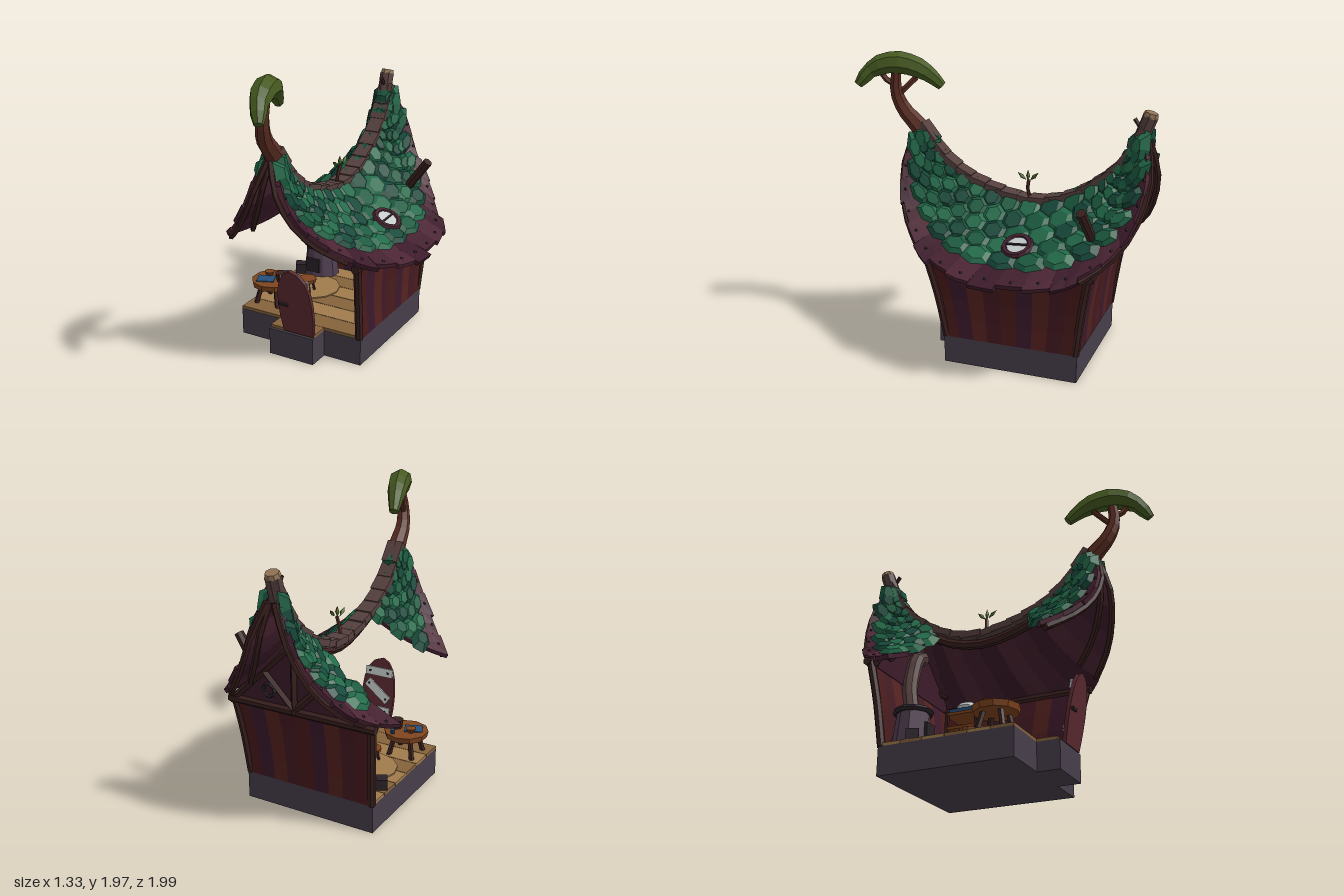
import * as THREE from 'three';

const V = (x, y, z) => new THREE.Vector3(x, y, z);
const curve = pts => new THREE.CatmullRomCurve3(pts.map(p => V(...p)));
const mat = color => new THREE.MeshStandardMaterial({ color, flatShading: true, side: THREE.DoubleSide });
const M = {
  stone: mat(0x463e4a), floor: mat(0x85623c), tan: mat(0xa07c4c), timber: mat(0x3a211f), bark: mat(0x5a2d22),
  ridge: mat(0x55403e), cut: mat(0x8f7355), white: mat(0xc4ccca), orange: mat(0x80451f), blue: mat(0x23507a),
  foliage: mat(0x465a20), leaf: mat(0x506a2a), iron: mat(0x2a2228), stove: mat(0x4f3d50), door: mat(0x5a2a30),
};
const GREENS = [0x1b5a40, 0x17493a, 0x236a4a].map(mat);
const ROOF = [0x44202f, 0x4c2534, 0x3c1b2a].map(mat);
const WALL = [0x4a1b1c, 0x3c1a2c, 0x552220, 0x431a22].map(mat);

// house axis, ridge line and right-hand eave line
const CX = -0.07;
const ridge = curve([[CX, 1.46, 0.58], [CX, 1.29, 0.46], [CX, 1.16, 0.3], [CX, 1.07, 0.09], [CX, 1.02, -0.15],
  [CX, 1.06, -0.39], [CX, 1.18, -0.6], [CX, 1.34, -0.77], [CX, 1.54, -0.88]]);
const eave = curve([[-0.05, 1.48, 0.6], [0, 1.35, 0.68], [0.08, 1.15, 0.69], [0.2, 0.98, 0.63], [0.33, 0.86, 0.52],
  [0.48, 0.75, 0.35], [0.58, 0.7, 0.14], [0.61, 0.68, -0.1], [0.6, 0.69, -0.4], [0.5, 0.73, -0.62],
  [0.32, 0.88, -0.83], [0.14, 1.13, -0.94], [0.04, 1.38, -0.95], [-0.05, 1.55, -0.89]]);

// point on the roof: t runs front to back, s ridge to eave, side is +1 or -1
function roofPoint(t, s, side) {
  t = THREE.MathUtils.clamp(t, 0, 1);
  const tr = Math.min(1, t + 0.08 * Math.exp(-(((t - 0.66) / 0.15) ** 2)));
  const p = ridge.getPointAt(tr).lerp(eave.getPointAt(t), s);
  p.y -= 0.05 * Math.sin(Math.PI * Math.min(s, 1)) * Math.sin(Math.PI * t);
  if (side < 0) p.x = 2 * CX - p.x;
  return p;
}
function roofFrame(t, s, side) {
  const e = 0.01;
  const T = roofPoint(t + e, s, side).sub(roofPoint(t - e, s, side)).multiplyScalar(side / (2 * e));
  const D = roofPoint(t, s + e, side).sub(roofPoint(t, s - e, side)).multiplyScalar(1 / (2 * e));
  const w = T.length(), l = D.length();
  D.normalize();
  const N = D.clone().cross(T).normalize();
  T.copy(N).cross(D).normalize();
  return { p: roofPoint(t, s, side), T, N, D, w, l };
}
function reshape(geo, fn) {
  const a = geo.attributes.position, v = V(0, 0, 0);
  for (let i = 0; i < a.count; i++) {
    const p = fn(v.fromBufferAttribute(a, i), i);
    a.setXYZ(i, p.x, p.y, p.z);
  }
  geo.computeVertexNormals();
  return geo;
}

export function createModel() {
  const model = new THREE.Group();
  const group = name => { const g = new THREE.Group(); g.name = name; model.add(g); return g; };
  const add = (g, name, geo, m, x = 0, y = 0, z = 0) => {
    const mesh = new THREE.Mesh(geo, m);
    mesh.name = name; mesh.position.set(x, y, z); g.add(mesh);
    return mesh;
  };
  const box = (g, name, m, w, h, d, x, y, z) => add(g, name, new THREE.BoxGeometry(w, h, d), m, x, y, z);
  const cyl = (g, name, m, r1, r2, h, x, y, z, n = 9) => add(g, name, new THREE.CylinderGeometry(r1, r2, h, n), m, x, y, z);
  // capped branch with radius varying along its path
  const limb = (g, name, m, pts, radius, n = 6, sides = 7) => {
    const c = curve(pts), rows = n + 2;
    const geo = reshape(new THREE.TubeGeometry(c, rows, 1, sides), (v, i) => {
      const row = Math.floor(i / (sides + 1)), u = THREE.MathUtils.clamp((row - 1) / n, 0, 1);
      const k = row === 0 || row === rows ? 0 : typeof radius === 'number' ? radius : radius(u);
      return v.clone().sub(c.getPointAt(row / rows)).multiplyScalar(k).add(c.getPointAt(u));
    });
    return add(g, name, geo, m);
  };

  // foundation and floor
  const base = group('foundation');
  box(base, 'foundationBlock', M.stone, 0.92, 0.185, 0.9, -0.1, 0.0925, -0.17);
  box(base, 'porchBlock', M.stone, 0.33, 0.185, 0.15, -0.075, 0.0925, 0.355);
  for (let i = 0; i < 6; i++) box(base, 'floorPlank', i % 2 ? M.floor : M.tan, 0.92, 0.02, 0.146, -0.1, 0.195, -0.545 + i * 0.15);
  box(base, 'porchFloor', M.floor, 0.33, 0.02, 0.13, -0.075, 0.195, 0.345);

  // flared plank walls, open at the front and left
  const walls = group('walls');
  const wall = (name, b0, b1, t0, t1, out, n) => {
    const B = [V(...b0), V(...b1)], T = [V(...t0), V(...t1)], O = V(...out);
    for (let i = 0; i < n; i++) {
      add(walls, name, reshape(new THREE.BoxGeometry(1, 1, 1, 1, 4, 1), v => {
        const u = (i + v.x + 0.5) / n, h = v.y + 0.5;
        return B[0].clone().lerp(B[1], u).lerp(T[0].clone().lerp(T[1], u), h)
          .addScaledVector(O, 0.025 * v.z - 0.015 * Math.sin(Math.PI * h));
      }), WALL[i % 4]);
    }
  };
  wall('rightWallPlank', [0.35, 0.185, 0.27], [0.35, 0.185, -0.61], [0.385, 0.73, 0.38], [0.385, 0.73, -0.69], [1, 0, 0], 9);
  wall('backWallPlank', [0.35, 0.185, -0.61], [-0.55, 0.185, -0.61], [0.385, 0.73, -0.69], [-0.585, 0.73, -0.69], [0, 0, -1], 9);
  for (const [x0, x1, z0, z1] of [[0.345, 0.39, 0.265, 0.385], [0.345, 0.39, -0.605, -0.69], [-0.545, -0.59, -0.605, -0.69]])
    limb(walls, 'cornerPost', M.timber, [[x0, 0.185, z0], [(x0 * 0.6 + x1 * 0.4), 0.48, z0 * 0.55 + z1 * 0.45], [x1, 0.75, z1]], 0.027);
  limb(walls, 'sideBeam', M.timber, [[0.385, 0.73, 0.41], [0.385, 0.73, -0.72]], 0.03);
  limb(walls, 'backBeam', M.timber, [[0.42, 0.73, -0.7], [-0.62, 0.74, -0.7]], 0.028);
  const gable = new THREE.Shape([[-0.54, 0.72], [0.4, 0.72], [0.36, 0.79], [0.14, 0.97], [CX, 1.22], [-0.28, 0.97], [-0.5, 0.79]].map(p => new THREE.Vector2(...p)));
  add(walls, 'backGable', new THREE.ExtrudeGeometry(gable, { depth: 0.03, bevelEnabled: false }), ROOF[2], 0, 0, -0.7);
  for (const [a, b] of [[[CX, 0.73], [CX, 1.24]], [[CX, 1.18], [0.36, 0.76]], [[CX, 1.18], [-0.5, 0.76]], [[CX, 0.75], [0.14, 0.96]], [[CX, 0.75], [-0.28, 0.96]]])
    limb(walls, 'gableBeam', M.timber, [[...a, -0.715], [...b, -0.715]], 0.022, 2, 4);
  add(walls, 'gableWindow', new THREE.TorusGeometry(0.04, 0.012, 5, 10), M.iron, 0.12, 0.84, -0.705);

  // roof boards, shingles and trim; the left slope is open in the middle
  const roof = group('roof');
  const spans = [[1, 0.015, 0.985, 18], [-1, 0.015, 0.29, 5], [-1, 0.61, 0.985, 7]];
  for (const [side, from, to, n] of spans) {
    const step = (to - from) / n;
    for (let i = 0; i < n; i++) {
      const end = 1 + 0.03 * ((i * 7) % 3 - 1);
      add(roof, 'roofBoard', reshape(new THREE.BoxGeometry(1, 1, 1, 2, 1, 6), v => {
        const f = roofFrame(from + step * (i + 0.5 + side * v.x), (v.z + 0.5) * end, side);
        return f.p.addScaledVector(f.N, 0.03 * v.y);
      }), ROOF[i % 3]);
      const f = roofFrame(from + step * (i + 0.5), 0.92, side);
      f.p.addScaledVector(f.N, 0.015);
      add(roof, 'stud', new THREE.IcosahedronGeometry(0.011), M.iron, ...f.p);
    }
    const cols = Math.round(n * 0.9), dt = (to - from) / cols;
    for (let r = 4; r >= 0; r--) for (let c = 0; c < cols; c++) {
      const t = from + dt * (c + (r % 2 ? 0.3 : 0.7)), s = 0.08 + r * 0.145;
      const f = roofFrame(t, s, side), edge = Math.abs(t - 0.5) * 2;
      const mesh = add(roof, 'shingle', new THREE.CylinderGeometry(0.3, 0.6, 1, 6), GREENS[(c * 5 + r * 2) % 3]);
      const w = Math.max(f.w * dt * 1.25, 0.1), l = Math.max(f.l * 0.24, 0.11), h = 0.035 + 0.03 * edge ** 3;
      mesh.matrix.makeBasis(f.T, f.N, f.D).multiply(new THREE.Matrix4().makeRotationX(0.12))
        .scale(V(w, h, l)).setPosition(f.p.addScaledVector(f.N, 0.03));
      mesh.matrix.decompose(mesh.position, mesh.quaternion, mesh.scale);
    }
    // bargeboards under the rising gable edges
    for (const [a, b] of [[0.02, 0.28], [0.66, 0.98]]) {
      if (b < from || a > to) continue;
      for (const s of [0.97, 0.7]) limb(roof, 'bargeboard', M.timber, [0, 1, 2, 3, 4].map(k => {
        const f = roofFrame(a + (b - a) * k / 4, s, side);
        return f.p.addScaledVector(f.N, -0.03).toArray();
      }), 0.02, 8, 5);
    }
  }
  limb(roof, 'ridgeBeam', M.timber, ridge.getPoints(8).map(p => [p.x, p.y - 0.035, p.z]), 0.03, 16, 6);
  for (let i = 0; i < 16; i++) {
    const u = (i + 0.5) / 16, p = ridge.getPointAt(u), d = ridge.getTangentAt(u);
    const tile = box(roof, 'ridgeTile', M.ridge, 0.115 - 0.01 * (i % 2), 0.045, 0.15, CX, p.y + 0.025, p.z);
    tile.rotation.x = Math.atan2(d.y, -d.z) + (u < 0.45 ? 0.1 : -0.1);
  }

  // round skylight
  const sky = group('skylight'), sf = roofFrame(0.51, 0.5, 1);
  sky.position.copy(sf.p).addScaledVector(sf.N, 0.05);
  sky.position.z = -0.2;
  sky.quaternion.setFromUnitVectors(V(0, 1, 0), sf.N);
  add(sky, 'skylightFrame', new THREE.TorusGeometry(0.083, 0.022, 6, 14), ROOF[0]).rotation.x = Math.PI / 2;
  cyl(sky, 'skylightGlass', M.white, 0.075, 0.075, 0.05, 0, -0.015, 0, 14);
  box(sky, 'skylightBar', M.iron, 0.012, 0.02, 0.15, 0, 0.01, 0);

  // chimney stick, back log and sprout
  limb(roof, 'chimneyStick', M.timber, [[0.22, 0.92, -0.66], [0.385, 1.14, -0.63]], 0.032, 2);
  limb(roof, 'backLog', M.ridge, [[CX, 1.42, -0.84], [-0.08, 1.54, -0.885], [-0.085, 1.65, -0.925]], 0.05);
  cyl(roof, 'logCutEnd', M.cut, 0.043, 0.05, 0.03, -0.085, 1.66, -0.928, 8).rotation.x = -0.3;
  limb(roof, 'logTwig', M.timber, [[-0.08, 1.56, -0.88], [-0.08, 1.63, -0.83]], 0.014, 2, 5);
  const sprout = group('sprout');
  limb(sprout, 'sproutStem', M.bark, [[CX, 1.05, -0.16], [-0.05, 1.12, -0.15], [-0.04, 1.18, -0.16]], 0.012, 4, 5);
  for (const [x, y, z, a] of [[-0.05, 1.2, -0.11, 0.9], [-0.04, 1.21, -0.155, 0], [-0.03, 1.21, -0.2, -0.8]]) {
    const leaf = add(sprout, 'sproutLeaf', new THREE.OctahedronGeometry(0.04), M.leaf, x, y, z);
    leaf.scale.set(0.4, 1, 0.35); leaf.rotation.x = a;
  }

  // tree growing from the front gable
  const tree = group('tree');
  limb(tree, 'trunk', M.bark, [[CX, 1.36, 0.55], [-0.06, 1.47, 0.62], [-0.05, 1.58, 0.72], [-0.03, 1.7, 0.765], [-0.01, 1.86, 0.75]], u => 0.07 - 0.04 * u, 9);
  limb(tree, 'branch', M.bark, [[-0.04, 1.68, 0.75], [-0.06, 1.74, 0.69], [-0.08, 1.79, 0.64]], 0.02, 4, 5);
  limb(tree, 'branch', M.bark, [[-0.03, 1.74, 0.76], [0.01, 1.79, 0.82], [0.02, 1.85, 0.85]], 0.02, 4, 5);
  limb(tree, 'canopy', M.foliage, [[-0.11, 1.74, 0.47], [-0.08, 1.82, 0.55], [-0.04, 1.88, 0.66], [0, 1.895, 0.78], [0.04, 1.85, 0.9], [0.09, 1.75, 0.98]],
    u => 0.032 + 0.042 * Math.sin(Math.PI * u) + 0.007 * Math.sin(u * 31), 10, 7);

  // leaning arched door with pale braces behind
  const door = group('door');
  door.position.set(-0.02, 0.2, 0.4); door.rotation.x = 0.18;
  const arch = new THREE.Shape();
  arch.moveTo(-0.11, 0); arch.lineTo(0.11, 0);
  arch.bezierCurveTo(0.15, 0.25, 0.13, 0.47, -0.01, 0.48);
  arch.bezierCurveTo(-0.12, 0.46, -0.15, 0.25, -0.11, 0);
  add(door, 'doorPanel', new THREE.ExtrudeGeometry(arch, { depth: 0.025, bevelEnabled: false, curveSegments: 6 }), M.door);
  for (const [y, a] of [[0.1, 0], [0.24, 0.6], [0.38, 0]]) {
    box(door, 'doorBrace', M.white, 0.21, 0.06, 0.012, 0, y, -0.006).rotation.z = a;
    for (const x of [-0.07, 0.07]) box(door, 'braceNail', M.iron, 0.014, 0.014, 0.01, x, y + x * Math.tan(a), -0.013);
  }
  box(door, 'doorHandle', M.iron, 0.06, 0.018, 0.02, -0.08, 0.22, 0.03);

  // furniture
  const room = group('furniture');
  const stand = (name, x, z, r, top, h) => {
    cyl(room, name + 'Top', M.orange, r, r * 0.94, h, x, top - h / 2, z, 10);
    for (let i = 0; i < 4; i++) {
      const a = Math.PI / 4 + i * Math.PI / 2, c = Math.cos(a) * r, s = Math.sin(a) * r;
      limb(room, name + 'Leg', M.timber, [[x + c * 0.55, top - h, z + s * 0.55], [x + c * 0.8, 0.2, z + s * 0.8]], r * 0.1 + 0.003, 2, 5);
    }
  };
  stand('table', -0.42, 0.1, 0.15, 0.37, 0.04);
  stand('stool', -0.29, -0.14, 0.065, 0.31, 0.025);
  cyl(room, 'rug', M.tan, 0.2, 0.2, 0.008, -0.3, 0.21, -0.22, 12);
  box(room, 'tableCloth', M.blue, 0.12, 0.006, 0.1, -0.46, 0.373, 0.13).rotation.y = 0.4;
  cyl(room, 'bowl', M.orange, 0.035, 0.02, 0.03, -0.47, 0.39, 0.07);
  cyl(room, 'pot', M.timber, 0.045, 0.035, 0.06, -0.35, 0.4, 0.1);
  cyl(room, 'cup', M.blue, 0.015, 0.012, 0.03, -0.37, 0.385, 0.0);
  // stove with bent pipe
  cyl(room, 'stoveBody', M.stove, 0.1, 0.13, 0.24, -0.38, 0.325, -0.49, 10);
  add(room, 'stoveRim', new THREE.TorusGeometry(0.11, 0.02, 5, 10), M.iron, -0.38, 0.44, -0.49).rotation.x = Math.PI / 2;
  box(room, 'stoveMouth', M.iron, 0.1, 0.1, 0.02, -0.38, 0.3, -0.37);
  limb(room, 'stovePipe', M.ridge, [[-0.38, 0.43, -0.5], [-0.35, 0.6, -0.54], [-0.28, 0.75, -0.57], [-0.23, 0.88, -0.57], [-0.16, 0.91, -0.57]], 0.05, 8, 8);
  box(room, 'firewood', M.iron, 0.1, 0.07, 0.08, -0.5, 0.24, -0.42).rotation.y = 0.5;
  // shelf unit with bedding
  for (const x of [0.11, 0.3]) for (const z of [-0.52, -0.3]) box(room, 'shelfPost', M.timber, 0.022, 0.42, 0.022, x, 0.41, z);
  for (const y of [0.33, 0.5, 0.6]) box(room, 'shelfBoard', M.orange, 0.21, 0.02, 0.24, 0.205, y, -0.41);
  box(room, 'blanket', M.blue, 0.17, 0.03, 0.2, 0.205, 0.625, -0.41);
  const pillow = add(room, 'pillow', new THREE.IcosahedronGeometry(0.08, 1), M.white, 0.2, 0.66, -0.41);
  pillow.scale.y = 0.5;
  return model;
}
